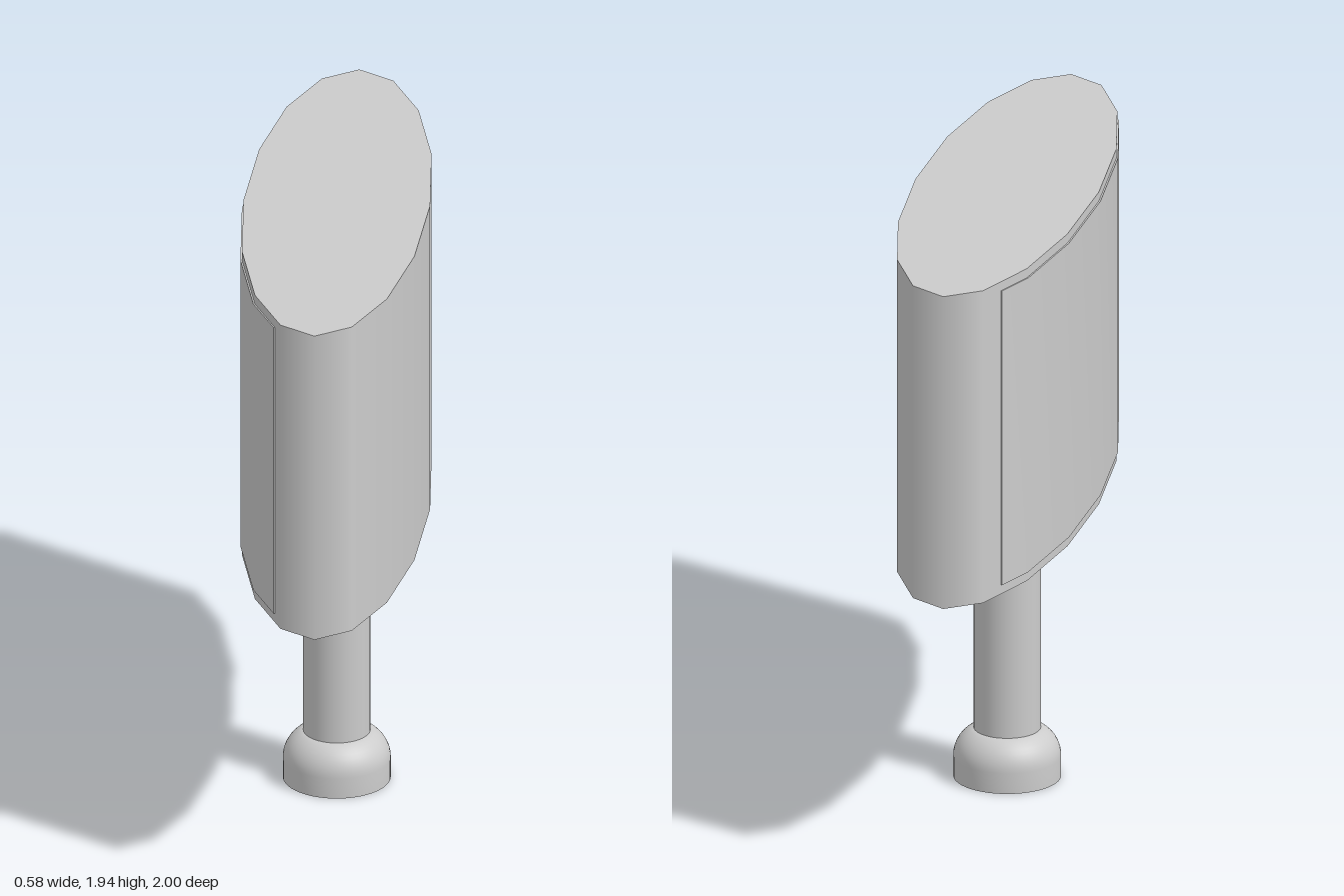
import * as THREE from 'three';
import { toCreasedNormals } from 'three/addons/utils/BufferGeometryUtils.js';

const RX = 0.289, RZ = 1;          // half-axes of the oval head
const BOTTOM = 0.915, TOP = 1.945; // height range of the head

export function createModel() {
  const group = new THREE.Group();
  const material = new THREE.MeshStandardMaterial({ color: 0xcccccc });
  const add = (name, geometry, y = 0) => {
    const mesh = new THREE.Mesh(geometry, material);
    mesh.name = name;
    mesh.position.y = y;
    group.add(mesh);
  };

  // Foot: short cylinder rounding in towards the stem
  const profile = [new THREE.Vector2(0, 0), new THREE.Vector2(0.167, 0)];
  for (let i = 0; i <= 8; i++) {
    const a = (i / 8) * THREE.MathUtils.degToRad(68);
    profile.push(new THREE.Vector2(0.067 + 0.1 * Math.cos(a), 0.067 + 0.1 * Math.sin(a)));
  }
  profile.push(new THREE.Vector2(0.1, 0.16));
  add('foot', toCreasedNormals(new THREE.LatheGeometry(profile, 48), 0.6));

  // Stem
  add('stem', new THREE.CylinderGeometry(0.104, 0.104, BOTTOM - 0.15, 48), (BOTTOM + 0.15) / 2);

  // Head: sixteen-sided oval drum
  const head = new THREE.CylinderGeometry(1, 1, TOP - BOTTOM, 16);
  head.scale(RX, 1, RZ);
  add('head', head, (TOP + BOTTOM) / 2);

  // Thin raised panel following the -x side of the head
  const side = [[-0.13, 0.878]];
  for (let i = 2; i <= 6; i++) {
    const a = (i / 8) * Math.PI;
    side.push([-RX * Math.sin(a), RZ * Math.cos(a)]);
  }
  side.push([-0.148, -0.836]);
  const outer = side.map(([x, z]) => new THREE.Vector2(x - 0.005, -z));
  const inner = side.map(([x, z]) => new THREE.Vector2(x + 0.01, -z)).reverse();
  const panel = new THREE.ExtrudeGeometry(new THREE.Shape([...outer, ...inner]), {
    depth: 0.97, bevelEnabled: false,
  });
  panel.rotateX(-Math.PI / 2);
  add('sidePanel', toCreasedNormals(panel, 0.5), 0.945);

  return group;
}
